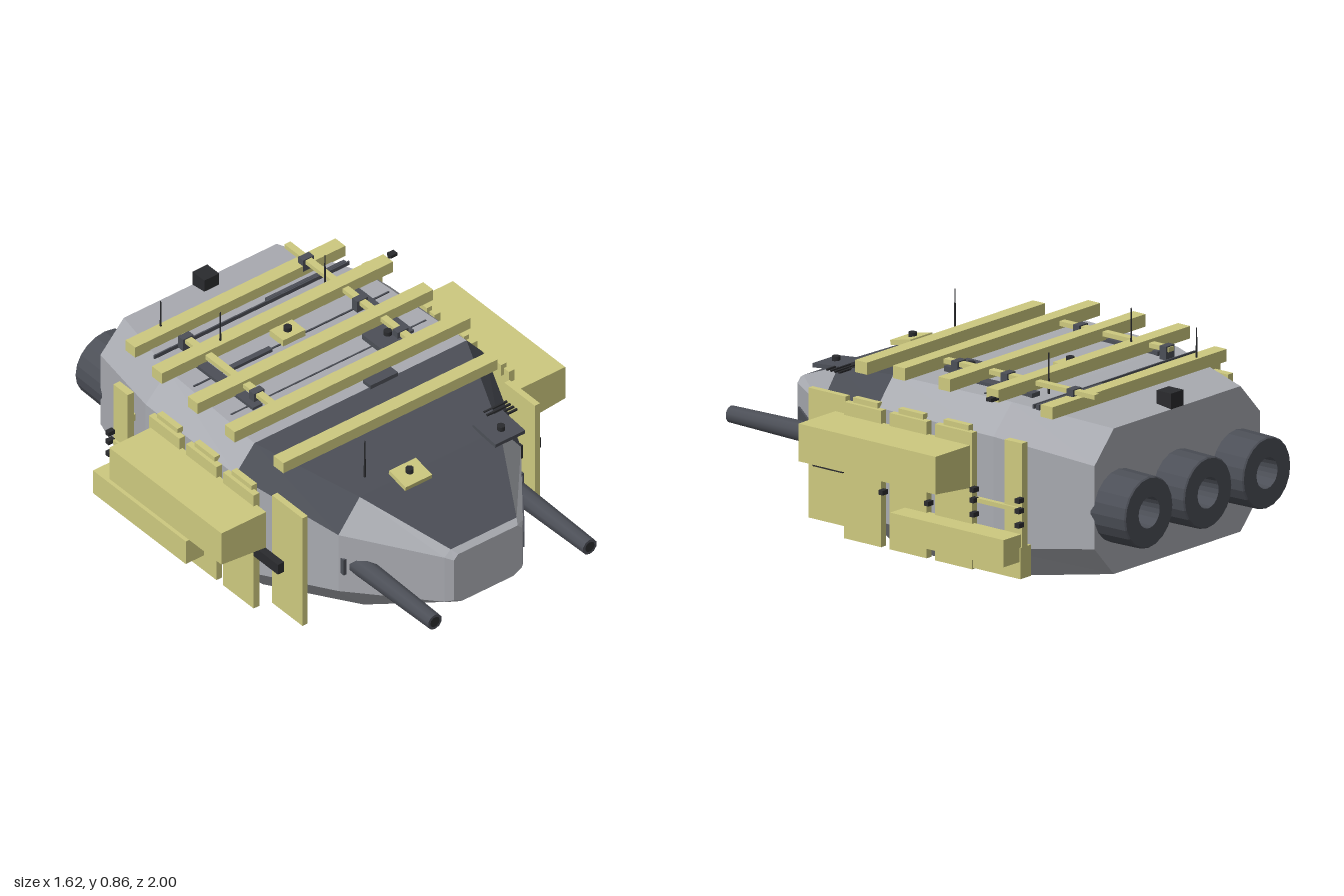
import * as THREE from 'three';

const mat = (name, color, extra = {}) => {
  const m = new THREE.MeshStandardMaterial({ color, ...extra });
  m.name = name;
  return m;
};

export function createModel() {
  const root = new THREE.Group();
  root.name = 'armouredCraft';
  const hullGrey = mat('hullGrey', 0xa9abb1);
  const darkGrey = mat('darkGrey', 0x4c4f57);
  const black = mat('black', 0x2a2b2e);
  const yellow = mat('yellow', 0xcdc97f);

  const add = (name, geo, m, x = 0, y = 0, z = 0, parent = root) => {
    const mesh = new THREE.Mesh(geo, m);
    mesh.name = name;
    mesh.position.set(x, y, z);
    parent.add(mesh);
    return mesh;
  };
  // box given by its limits on each axis
  const box = (name, m, x0, x1, y0, y1, z0, z1, parent) =>
    add(name, new THREE.BoxGeometry(x1 - x0, y1 - y0, z1 - z0), m,
      (x0 + x1) / 2, (y0 + y1) / 2, (z0 + z1) / 2, parent);

  // hull: eight-sided sections [z, halfBottom, halfSide, halfTop, yBottom, ySideLow, ySideHigh, yTop]
  const sections = [
    [-0.85, 0.36, 0.47, 0.36, 0.06, 0.18, 0.50, 0.62],
    [-0.45, 0.46, 0.575, 0.47, 0, 0.13, 0.56, 0.67],
    [0.10, 0.46, 0.59, 0.50, 0, 0.13, 0.57, 0.675],
    [0.51, 0.31, 0.43, 0.33, 0.08, 0.20, 0.46, 0.59],
    [0.83, 0.13, 0.185, 0.155, 0.20, 0.225, 0.43, 0.455],
    [0.855, 0.12, 0.16, 0.14, 0.215, 0.235, 0.42, 0.44],
  ];
  const ring = ([z, hb, hs, ht, yb, yl, yh, yt]) =>
    [[hb, yb], [hs, yl], [hs, yh], [ht, yt], [-ht, yt], [-hs, yh], [-hs, yl], [-hb, yb]]
      .map(([x, y]) => [x, y, z]);
  const rings = sections.map(ring);
  const light = [], dark = [];
  for (let s = 0; s < rings.length - 1; s++) {
    for (let i = 0; i < 8; i++) {
      const j = (i + 1) % 8, a = rings[s], b = rings[s + 1];
      const isDark = (s === 2 && i >= 2 && i <= 4) || (s === 3 && i === 3);
      (isDark ? dark : light).push(...a[i], ...a[j], ...b[j], ...a[i], ...b[j], ...b[i]);
    }
  }
  const back = rings[0], front = rings[rings.length - 1];
  for (let i = 1; i < 7; i++) {
    light.push(...back[0], ...back[i + 1], ...back[i]);
    light.push(...front[0], ...front[i], ...front[i + 1]);
  }
  for (const [name, pts, m] of [['hull', light, hullGrey], ['foredeckPanels', dark, darkGrey]]) {
    const g = new THREE.BufferGeometry();
    g.setAttribute('position', new THREE.Float32BufferAttribute(pts, 3));
    g.computeVertexNormals();
    add(name, g, m);
  }

  // engine nozzles with a recessed throat
  const nozzleProfile = [[0.14, 0], [0.137, 0.16], [0.132, 0.165], [0.06, 0.165], [0.055, 0.06]]
    .map(([r, h]) => new THREE.Vector2(r, h));
  for (const x of [-0.335, 0, 0.335]) {
    const engine = new THREE.Group();
    engine.name = 'engine';
    engine.position.set(x, 0.32, -0.835);
    engine.rotation.x = -Math.PI / 2;
    root.add(engine);
    const g = new THREE.LatheGeometry(nozzleProfile, 20).toNonIndexed();
    g.computeVertexNormals();
    add('nozzle', g, darkGrey, 0, 0, 0, engine);
    add('throat', new THREE.CylinderGeometry(0.06, 0.06, 0.01, 12), hullGrey, 0, 0.06, 0, engine);
  }

  // parts repeated on both sides
  for (const side of [1, -1]) {
    const grp = new THREE.Group();
    grp.name = side > 0 ? 'leftSide' : 'rightSide';
    root.add(grp);
    const sbox = (name, m, x0, x1, ...r) =>
      box(name, m, Math.min(side * x0, side * x1), Math.max(side * x0, side * x1), ...r, grp);

    // gun
    const gun = add('gunBarrel', new THREE.CylinderGeometry(0.033, 0.043, 0.52, 10), darkGrey, side * 0.365, 0.32, 0.74, grp);
    gun.rotation.x = Math.PI / 2;
    const muzzle = add('gunMuzzle', new THREE.CircleGeometry(0.022, 10), black, side * 0.365, 0.32, 1.0005, grp);
    muzzle.scale.set(1, 1, 1);
    sbox('gunMount', darkGrey, 0.37, 0.425, 0.285, 0.355, 0.45, 0.535);

    // armour plates
    sbox('frontArmourPlate', yellow, 0.535, 0.56, 0.07, 0.57, 0.28, 0.46);
    for (const z of [0.06, -0.16, -0.38]) {
      sbox('armourPlate', yellow, 0.588, 0.615, 0.045, 0.57, z, z + 0.18);
      sbox('armourPlateLip', yellow, 0.575, 0.60, 0.54, 0.59, z + 0.03, z + 0.15);
    }
    sbox('rearArmourPlate', yellow, 0.57, 0.60, 0.16, 0.57, -0.61, -0.525);
    sbox('rearPlateFoot', yellow, 0.55, 0.61, 0.05, 0.17, -0.61, -0.38);

    // stowage boxes, the upper one with a sloping floor
    const upper = sbox('upperStowageBox', yellow, 0.60, 0.81, 0.375, 0.52, -0.37, 0.295);
    const p = upper.geometry.attributes.position;
    for (let i = 0; i < p.count; i++) {
      if (p.getY(i) < 0 && p.getX(i) * side < 0) p.setY(i, p.getY(i) - 0.02);
    }
    upper.geometry.computeVertexNormals();
    sbox('lowerStowageBox', yellow, 0.60, 0.70, 0.115, 0.22, -0.605, -0.055);

    // fittings on the plates
    sbox('sideBlock', black, 0.59, 0.62, 0.295, 0.34, 0.245, 0.39);
    sbox('plateBracket', black, 0.50, 0.545, 0.285, 0.345, 0.33, 0.39);
    for (const z of [0.05, -0.17, -0.39, -0.61]) {
      for (const y of [0.26, 0.315, 0.355]) sbox('plateBolt', black, 0.60, 0.63, y - 0.009, y + 0.009, z - 0.01, z + 0.01);
    }
    sbox('sideRail', yellow, 0.59, 0.61, 0.305, 0.322, -0.60, -0.38);
    sbox('plateStay', yellow, 0.53, 0.60, 0.42, 0.45, -0.58, -0.54);

    // roof channel beside the centre panel
    sbox('roofChannel', darkGrey, 0.335, 0.38, 0.665, 0.685, -0.47, -0.06);
  }

  // dark slot behind the left gun
  const slot = add('gunSlot', new THREE.BoxGeometry(0.008, 0.07, 0.34), darkGrey, 0.31, 0.315, 0.672);
  slot.rotation.y = -Math.atan2(0.245, 0.32);

  // roof beams [z, x0, x1, y0, y1]
  for (const [z, x0, x1, y0, y1] of [
    [0.255, -0.51, 0.50, 0.65, 0.697], [0.03, -0.56, 0.55, 0.682, 0.73],
    [-0.19, -0.56, 0.55, 0.682, 0.73], [-0.415, -0.55, 0.54, 0.682, 0.73],
    [-0.635, -0.50, 0.49, 0.648, 0.695],
  ]) box('roofBeam', yellow, x0, x1, y0, y1, z - 0.029, z + 0.029);

  // lengthwise rails and their clamps
  box('roofRail', yellow, -0.345, -0.315, 0.70, 0.718, -0.54, -0.01);
  box('roofRail', yellow, 0.302, 0.33, 0.70, 0.718, -0.73, 0.0);
  for (const [x, z] of [[-0.33, -0.52], [-0.33, -0.1], [0.316, -0.62], [0.316, -0.3], [0.316, -0.06]])
    box('railClamp', darkGrey, x - 0.025, x + 0.025, 0.67, 0.722, z - 0.015, z + 0.015);

  // roof equipment
  const knob = (x, y, z) => add('knob', new THREE.CylinderGeometry(0.016, 0.016, 0.025, 10), black, x, y, z);
  box('roofHatch', yellow, -0.05, 0.055, 0.672, 0.70, -0.375, -0.295);
  knob(0.003, 0.705, -0.335);
  const frontHatch = box('foredeckHatch', yellow, -0.165, -0.04, 0.585, 0.605, 0.475, 0.575);
  frontHatch.rotation.x = 0.2;
  knob(-0.103, 0.61, 0.52);
  const frontPlate = box('foredeckPlate', darkGrey, 0.25, 0.39, 0.592, 0.608, 0.45, 0.585);
  frontPlate.rotation.x = 0.1;
  knob(0.32, 0.612, 0.53);
  for (let i = 0; i < 4; i++) box('foredeckLouvre', black, 0.33, 0.44, 0.605, 0.612, 0.41 + i * 0.02, 0.418 + i * 0.02);
  box('roofUnit', darkGrey, 0.205, 0.34, 0.67, 0.695, -0.15, -0.01);
  knob(0.28, 0.7, -0.09);
  box('deckUnit', darkGrey, 0.04, 0.17, 0.668, 0.69, 0.065, 0.11);
  box('roofBar', darkGrey, -0.31, -0.10, 0.672, 0.685, -0.318, -0.295);
  box('rearRoofBar', darkGrey, 0.08, 0.45, 0.655, 0.675, -0.565, -0.55);
  for (const z of [-0.09, -0.31, -0.545]) box('panelSeam', darkGrey, -0.46, 0.46, 0.66, 0.676, z - 0.003, z + 0.003);
  box('rearSensor', black, -0.036, 0.034, 0.615, 0.68, -0.85, -0.78);
  box('sideKnob', black, 0.57, 0.60, 0.70, 0.713, -0.46, -0.435);
  box('sideKnobArm', black, 0.545, 0.585, 0.695, 0.702, -0.452, -0.443);

  // aerials [x, z, yBase, yTop]
  for (const [x, z, y0, y1] of [
    [-0.25, 0.44, 0.60, 0.77], [-0.255, -0.41, 0.67, 0.86],
    [0.29, -0.475, 0.66, 0.825], [-0.345, -0.65, 0.64, 0.81],
  ]) add('aerial', new THREE.CylinderGeometry(0.002, 0.005, y1 - y0, 6), black, x, (y0 + y1) / 2, z);

  return root;
}
